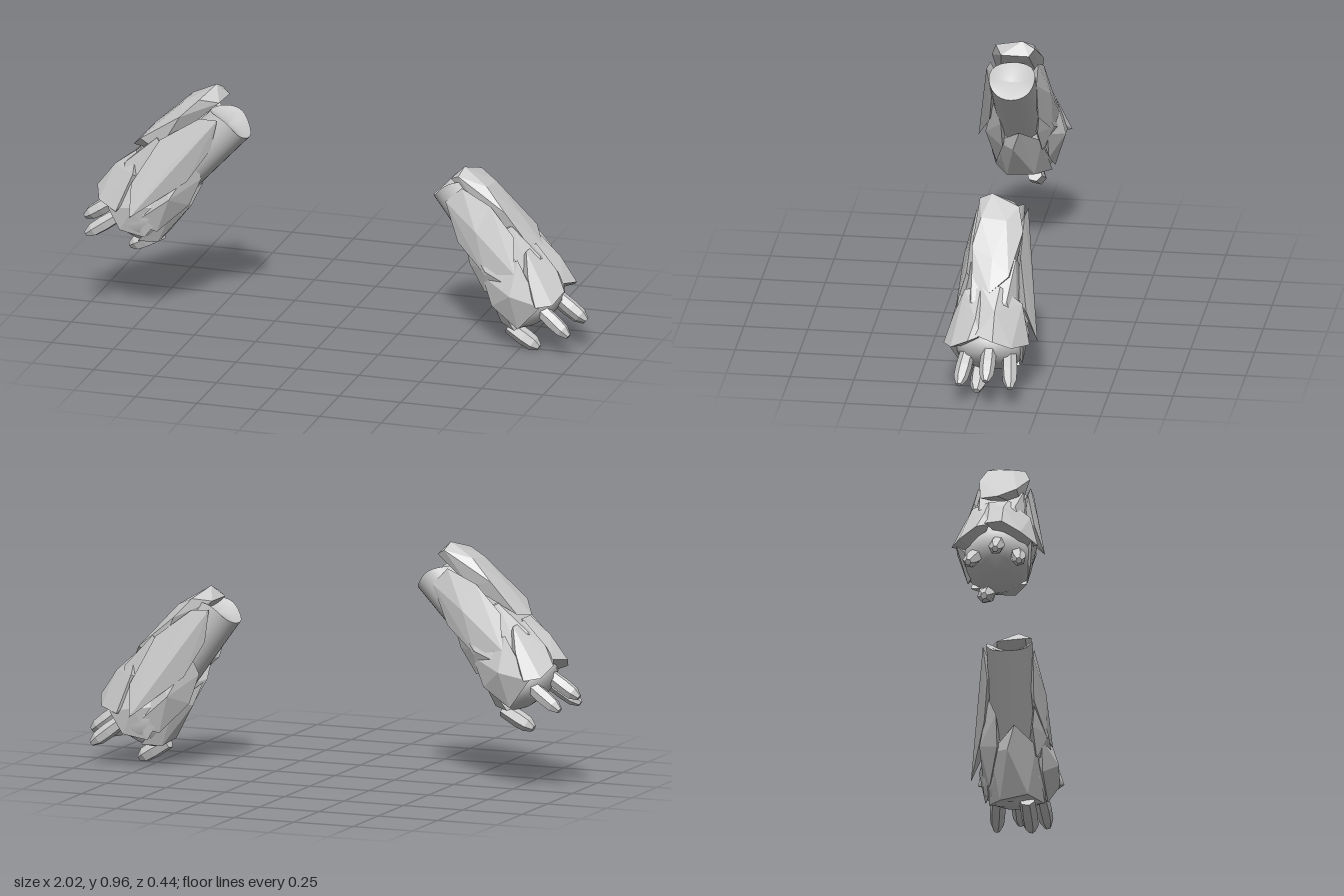
import * as THREE from 'three';
import { ConvexGeometry } from 'three/addons/geometries/ConvexGeometry.js';

const smooth = new THREE.MeshStandardMaterial({ color: 0xcccccc, side: THREE.DoubleSide });
const faceted = new THREE.MeshStandardMaterial({ color: 0xcccccc, flatShading: true });

function addMesh(parent, name, geometry, material) {
  const mesh = new THREE.Mesh(geometry, material);
  mesh.name = name;
  parent.add(mesh);
  return mesh;
}

// Stone plate: hull of corners given as [outward, distance down the arm, z]
function addPlate(parent, name, corners) {
  const points = corners.map(([o, a, z]) => new THREE.Vector3(o, -a, z));
  return addMesh(parent, name, new ConvexGeometry(points), faceted);
}

// Blunt six-sided finger reaching from root to tip
function addFinger(parent, name, root, tip, r) {
  const from = new THREE.Vector3(root[0], -root[1], root[2]);
  const dir = new THREE.Vector3(tip[0], -tip[1], tip[2]).sub(from);
  const len = dir.length();
  const profile = [[0, 0], [0.9, 0], [1, 0.5], [0.9, 0.8], [0.4, 1], [0, 1]]
    .map(([x, y]) => new THREE.Vector2(x * r, y * len));
  const finger = addMesh(parent, name, new THREE.LatheGeometry(profile, 6), faceted);
  finger.position.copy(from);
  finger.quaternion.setFromUnitVectors(new THREE.Vector3(0, 1, 0), dir.normalize());
}

// Arm core, its upper end scooped out between two low horns
function coreGeometry() {
  const r = 0.09;
  const tube = new THREE.CylinderGeometry(r, r, 0.45, 32, 1, true).translate(0, -0.225, 0);
  const cap = new THREE.RingGeometry(0, r, 32, 6).rotateX(-Math.PI / 2);
  for (const g of [tube, cap]) {
    const p = g.attributes.position;
    for (let i = 0; i < p.count; i++) {
      if (p.getY(i) < -0.01) continue;
      const o = p.getX(i) / r, z = p.getZ(i) / r;
      const scoop = 0.035 * (1 - z * z) * Math.min(1, 1 + o);
      p.setY(i, 0.012 * (1 - o * o) - scoop);
    }
  }
  cap.computeVertexNormals();
  return [tube, cap];
}

// bend tilts the core about the hand, lift raises the long outer plate
function forearm(name, bend, lift) {
  const arm = new THREE.Group();
  arm.name = name;

  const core = new THREE.Group();
  core.name = 'core';
  core.position.y = -0.6;
  core.rotation.z = bend;
  const [tube, cap] = coreGeometry();
  addMesh(core, 'armCore', tube, smooth).position.y = 0.6;
  addMesh(core, 'armCoreEnd', cap, smooth).position.y = 0.6;
  arm.add(core);

  // Rounded palm
  const palm = [[0, -0.64], [0.06, -0.635], [0.11, -0.615], [0.135, -0.575], [0.135, -0.5], [0.1, -0.36], [0, -0.33]]
    .map(([x, y]) => new THREE.Vector2(x, y));
  addMesh(arm, 'palm', new THREE.LatheGeometry(palm, 32), smooth);

  // Upper arm plates
  addPlate(arm, 'outerLongPlate', [
    [0.07, -0.015, 0.08], [0.093, -0.03, 0.03], [0.1, 0.02, -0.08], [0.03, -0.022, 0.06], [0.035, -0.015, -0.05],
    [0.138, 0.08, 0.06], [0.14, 0.09, -0.04], [0.11, 0.12, -0.105], [0.15, 0.2, 0.085], [0.165, 0.25, 0],
    [0.165, 0.32, -0.07], [0.17, 0.39, 0.0], [0.15, 0.36, 0.07], [0.06, 0.15, 0.07], [0.08, 0.3, -0.08],
  ]).position.set(lift, lift, 0);
  addPlate(arm, 'outerMidPlate', [
    [0.14, 0.26, 0.08], [0.14, 0.24, -0.09], [0.165, 0.42, 0.07], [0.165, 0.42, -0.07], [0.08, 0.25, 0.1],
    [0.07, 0.25, -0.1], [0.08, 0.52, 0.11], [0.08, 0.52, -0.11], [0.15, 0.5, 0]]);
  addPlate(arm, 'frontUpperPlate', [
    [-0.03, 0.04, 0.092], [0.06, 0.03, 0.09], [0.12, 0.15, 0.095], [0.13, 0.3, 0.1], [0.06, 0.42, 0.14],
    [-0.05, 0.36, 0.13], [-0.085, 0.2, 0.09], [0.02, 0.2, 0.13], [0.04, 0.1, 0.05], [0.04, 0.35, 0.06]]);
  addPlate(arm, 'frontInnerPlate', [
    [-0.04, 0.17, 0.095], [0.05, 0.2, 0.1], [-0.1, 0.3, 0.08], [-0.11, 0.42, 0.09],
    [0.02, 0.46, 0.14], [-0.04, 0.35, 0.135], [-0.03, 0.4, 0.05]]);
  addPlate(arm, 'backLongPlate', [
    [0.013, 0, -0.105], [0.07, 0.05, -0.1], [0.125, 0.23, -0.105], [0.09, 0.436, -0.14],
    [0.005, 0.53, -0.182], [-0.062, 0.28, -0.11], [-0.045, 0.12, -0.09], [0.03, 0.26, -0.14],
    [0.03, 0.1, -0.07], [0.04, 0.36, -0.09]]);
  addPlate(arm, 'backInnerPlate', [
    [-0.03, 0.2, -0.09], [-0.095, 0.25, -0.06], [-0.13, 0.37, -0.06], [-0.11, 0.53, -0.1],
    [-0.02, 0.56, -0.13], [0.02, 0.33, -0.11], [-0.06, 0.38, -0.135], [-0.04, 0.4, -0.05]]);

  // Cuff plates around the hand
  addPlate(arm, 'outerFrontCuff', [
    [0.165, 0.37, 0.035], [0.14, 0.37, 0.1], [0.1, 0.46, 0.14], [0.07, 0.57, 0.175], [0.12, 0.6, 0.14],
    [0.165, 0.585, 0.07], [0.178, 0.5, 0.045], [0.16, 0.56, 0.02], [0.06, 0.4, 0.06], [0.05, 0.57, 0.08]]);
  addPlate(arm, 'outerBackCuff', [
    [0.16, 0.36, 0.035], [0.165, 0.36, -0.04], [0.11, 0.41, -0.125], [0.06, 0.56, -0.16], [0.14, 0.6, -0.1],
    [0.185, 0.59, -0.03], [0.165, 0.56, 0.04], [0.19, 0.47, -0.03], [0.06, 0.42, -0.06], [0.05, 0.57, -0.08]]);
  addPlate(arm, 'frontCuff', [
    [0.1, 0.38, 0.125], [-0.07, 0.36, 0.11], [-0.11, 0.48, 0.11], [-0.07, 0.61, 0.12], [0.08, 0.58, 0.155],
    [0, 0.48, 0.165], [0, 0.4, 0.06], [0, 0.57, 0.07]]);
  addPlate(arm, 'innerCuff', [
    [-0.11, 0.29, 0.01], [-0.137, 0.38, -0.02], [-0.09, 0.38, 0.09], [-0.09, 0.4, -0.09], [-0.143, 0.56, 0.05],
    [-0.14, 0.58, -0.06], [-0.09, 0.61, 0.11], [-0.08, 0.61, -0.11], [-0.06, 0.45, 0]]);
  addPlate(arm, 'backCuff', [
    [0.09, 0.42, -0.12], [-0.08, 0.42, -0.11], [-0.09, 0.58, -0.11], [0, 0.62, -0.13],
    [0.09, 0.58, -0.14], [0.02, 0.5, -0.15], [0, 0.5, -0.06]]);

  // Three fingers and a thumb
  for (const [z, o, a] of [[0.1, 0.085, 0.74], [-0.01, 0.135, 0.735], [-0.1, 0.085, 0.745]]) {
    addFinger(arm, 'finger', [o - 0.045, 0.585, z * 0.8], [o, a, z], 0.031);
  }
  addFinger(arm, 'thumb', [-0.125, 0.59, 0.045], [-0.07, 0.722, 0.05], 0.034);
  return arm;
}

export function createModel() {
  const model = new THREE.Group();
  model.name = 'stoneForearms';

  const left = forearm('leftForearm', 0, 0);
  left.position.set(0.46, 0.635, -0.04);
  left.rotation.z = 0.628;

  // The other arm is turned half around, raised and tilted a little more
  const right = forearm('rightForearm', 0.05, 0.02);
  right.position.set(0.43, 0.603, -0.04);
  right.rotation.z = 0.7;
  const turned = new THREE.Group();
  turned.name = 'rightSide';
  turned.rotation.y = Math.PI;
  turned.position.y = 0.24;
  turned.add(right);

  model.add(left, turned);
  return model;
}
